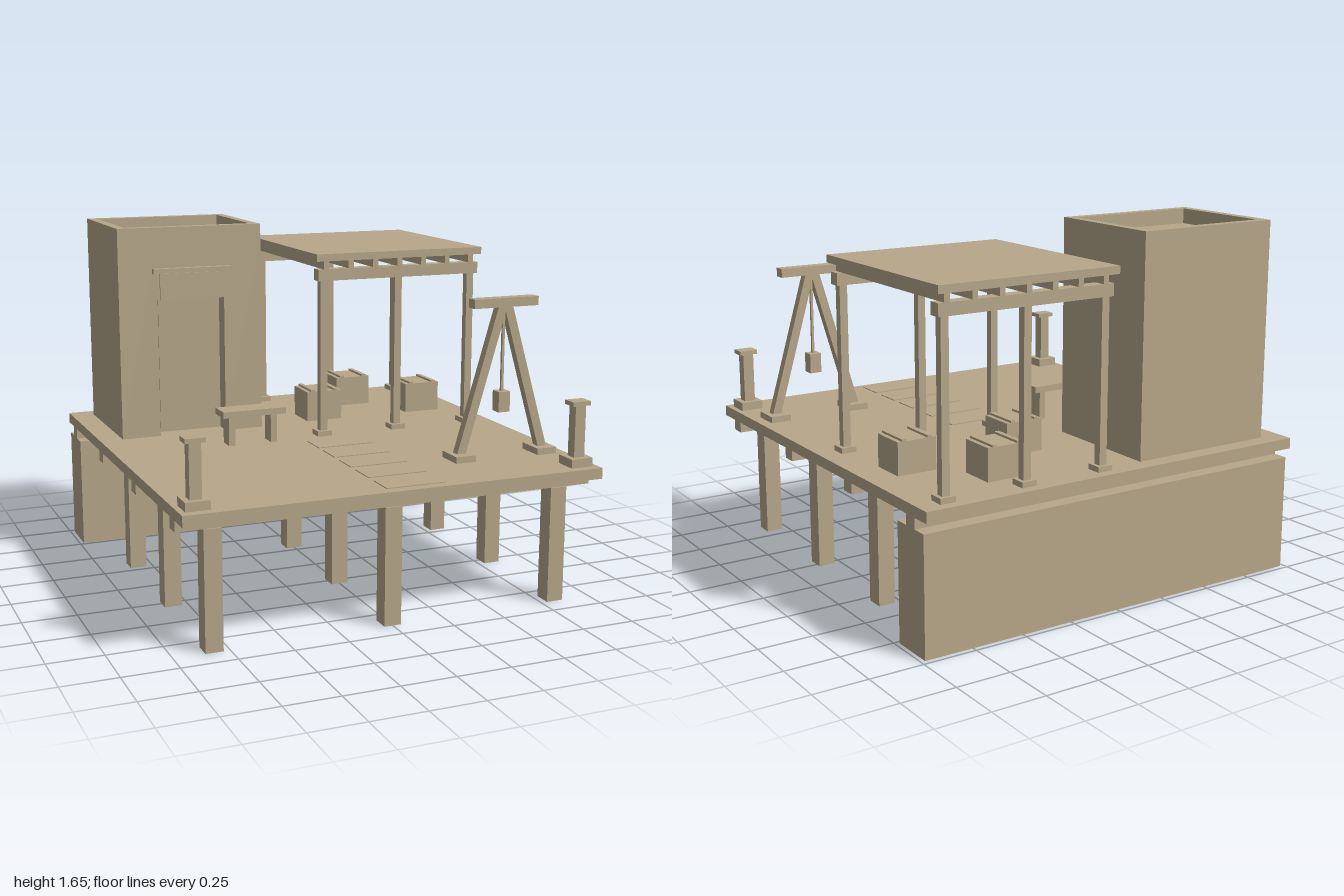
import * as THREE from 'three';

export function createModel() {
  const model = new THREE.Group();
  model.name = 'stiltPlatform';
  const sand = new THREE.MeshStandardMaterial({ color: 0xb8a88a });
  sand.name = 'sand';

  const add = (parent, name, geometry) => {
    const mesh = new THREE.Mesh(geometry, sand);
    mesh.name = name;
    parent.add(mesh);
    return mesh;
  };
  // Box given by its minimum and maximum on each axis
  const box = (parent, name, x0, x1, y0, y1, z0, z1) => {
    const mesh = add(parent, name, new THREE.BoxGeometry(x1 - x0, y1 - y0, z1 - z0));
    mesh.position.set((x0 + x1) / 2, (y0 + y1) / 2, (z0 + z1) / 2);
    return mesh;
  };
  // Box centred on x and z, standing between two heights
  const block = (parent, name, x, z, w, d, y0, y1) =>
    box(parent, name, x - w / 2, x + w / 2, y0, y1, z - d / 2, z + d / 2);
  const group = (name) => {
    const g = new THREE.Group();
    g.name = name;
    model.add(g);
    return g;
  };
  const DECK = 0.64;

  // Deck, cross beams, stilts and rear retaining wall
  const base = group('platform');
  box(base, 'deck', -0.98, 0.98, 0.59, DECK, -1, 1);
  for (const z of [0.855, 0.263, -0.328, -0.87]) {
    block(base, 'crossBeam', 0, z, 1.96, 0.07, 0.54, 0.59);
  }
  for (const z of [0.855, 0.263, -0.328]) {
    for (const x of [-0.82, 0, 0.82]) block(base, 'stilt', x, z, 0.08, 0.084, 0, 0.54);
  }
  box(base, 'rearWall', -0.98, 0.98, 0, 0.54, -0.975, -0.765);

  // Tower with recessed doorway and sunken roof
  const tower = group('tower');
  const roofY = 1.585;
  box(tower, 'towerBody', -0.87, -0.155, DECK, roofY, -0.92, -0.41);
  box(tower, 'doorSideWall', -0.87, -0.68, DECK, roofY, -0.41, -0.33);
  box(tower, 'doorSideWall', -0.345, -0.155, DECK, roofY, -0.41, -0.33);
  box(tower, 'doorHeadWall', -0.68, -0.345, 1.31, roofY, -0.41, -0.33);
  box(tower, 'door', -0.658, -0.362, 0.66, 1.305, -0.412, -0.402);
  box(tower, 'awningRail', -0.705, -0.32, 1.435, 1.46, -0.33, -0.303);
  box(tower, 'awningCloth', -0.675, -0.35, 1.31, 1.437, -0.306, -0.297);
  box(tower, 'parapetFront', -0.87, -0.155, roofY, 1.655, -0.375, -0.33);
  box(tower, 'parapetBack', -0.87, -0.155, roofY, 1.655, -0.92, -0.875);
  box(tower, 'parapetSide', -0.87, -0.825, roofY, 1.655, -0.875, -0.375);
  box(tower, 'parapetSide', -0.197, -0.155, roofY, 1.655, -0.875, -0.375);

  // Bench
  const bench = group('bench');
  box(bench, 'benchSeat', -0.47, -0.155, 0.78, 0.81, -0.11, 0.01);
  for (const x of [-0.421, -0.21]) block(bench, 'benchLeg', x, -0.05, 0.032, 0.08, DECK, 0.78);

  // Open canopy on six posts
  const canopy = group('canopy');
  box(canopy, 'canopyRoof', 0.015, 0.897, 1.495, 1.53, -0.967, -0.018);
  for (let i = 0; i < 7; i++) {
    block(canopy, 'joist', 0.07 + i * 0.129, -0.488, 0.027, 0.915, 1.455, 1.495);
  }
  for (const z of [-0.061, -0.916]) {
    block(canopy, 'canopyBeam', 0.457, z, 0.855, 0.058, 1.4, 1.455);
    for (const x of [0.062, 0.456, 0.85]) {
      block(canopy, 'canopyPost', x, z, 0.037, 0.037, DECK, 1.4);
      block(canopy, 'postFoot', x, z, 0.073, 0.073, DECK, 0.665);
    }
  }

  // Crates with lid battens
  for (const [x, z] of [[0.195, -0.442], [0.475, -0.722], [0.748, -0.442]]) {
    const crate = group('crate');
    block(crate, 'crateBody', x, z, 0.188, 0.175, DECK, 0.79);
    for (const s of [-1, 1]) block(crate, 'lidBatten', x + s * 0.062, z, 0.022, 0.175, 0.79, 0.8);
  }

  // Hoist frame with hanging weight
  const hoist = group('hoist');
  const cx = 0.668, cz = 0.622;
  block(hoist, 'hoistBeam', cx, cz, 0.328, 0.056, 1.335, 1.377);
  for (const s of [-1, 1]) {
    block(hoist, 'hoistFoot', cx + s * 0.211, cz, 0.1, 0.135, DECK, 0.67);
    const foot = new THREE.Vector2(cx + s * 0.215, 0.655);
    const top = new THREE.Vector2(cx + s * 0.014, 1.34);
    const leg = add(hoist, 'hoistLeg', new THREE.BoxGeometry(0.042, foot.distanceTo(top), 0.042));
    leg.position.set((foot.x + top.x) / 2, (foot.y + top.y) / 2, cz);
    leg.rotation.z = Math.atan2(foot.x - top.x, top.y - foot.y);
  }
  block(hoist, 'rope', cx, cz, 0.012, 0.012, 0.945, 1.335);
  block(hoist, 'weight', cx, cz, 0.058, 0.058, 0.85, 0.945);

  // Corner bollards
  for (const s of [-1, 1]) {
    const bollard = group('bollard');
    block(bollard, 'bollardBase', s * 0.9, 0.903, 0.108, 0.108, DECK, 0.68);
    block(bollard, 'bollardShaft', s * 0.9, 0.903, 0.053, 0.053, DECK, 0.92);
    block(bollard, 'bollardCap', s * 0.9, 0.903, 0.09, 0.07, 0.917, 0.937);
  }

  // Thin paving slabs leading in from the front
  const path = group('path');
  for (let i = 0; i < 5; i++) {
    block(path, 'pavingSlab', 0.08, 0.88 - i * 0.19, 0.28, 0.14, DECK, 0.644);
  }
  return model;
}
